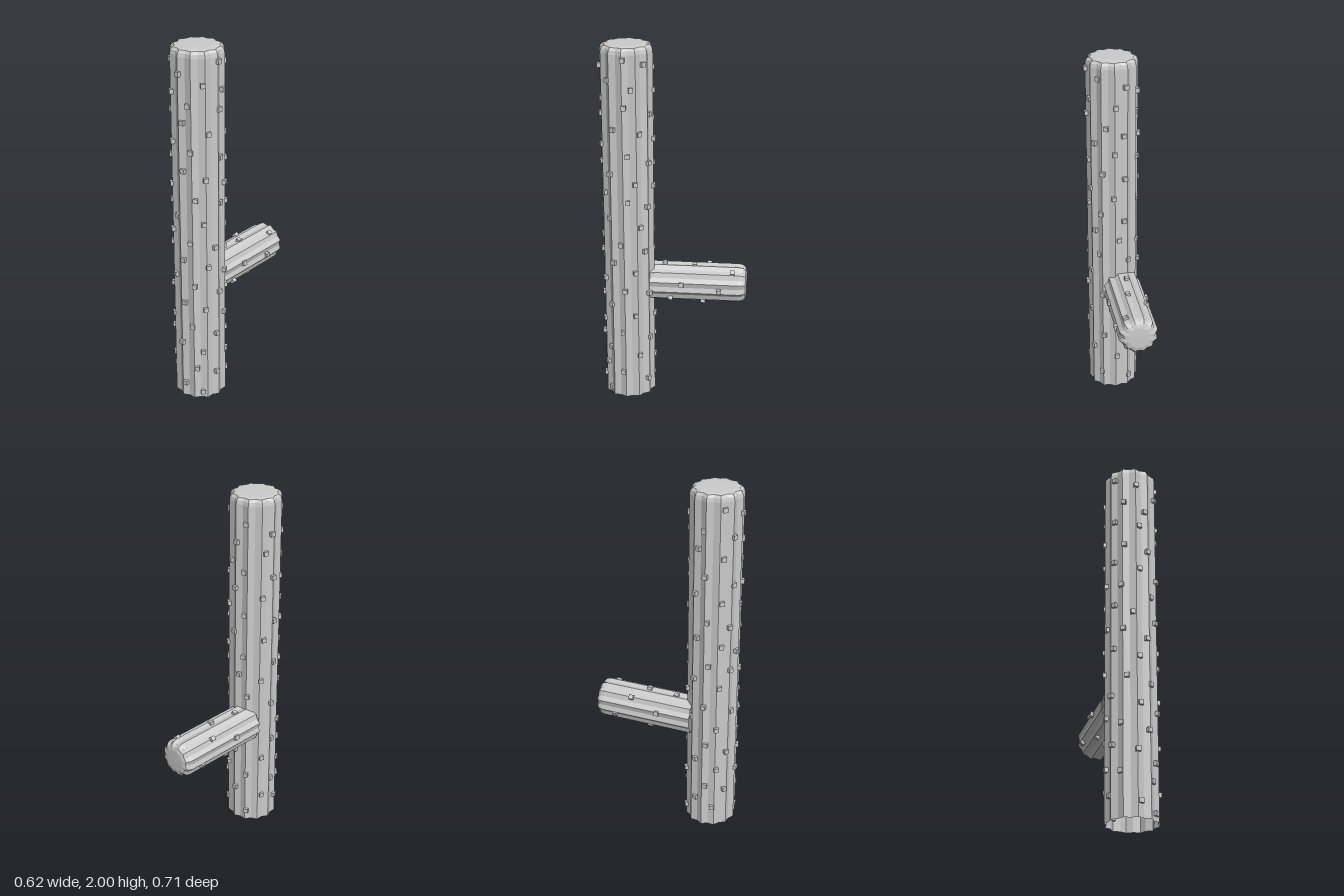
import * as THREE from 'three';

const material = new THREE.MeshStandardMaterial({ color: 0xcccccc, flatShading: true, side: THREE.DoubleSide });
const RIBS = 12;
const VALLEY = 0.9;

// Small seeded generator for scattering the spikes
function seeded(seed) {
  return () => {
    seed = (seed * 16807) % 2147483647;
    return seed / 2147483647;
  };
}

// Lathe whose every second column is the crest of a rib; open at the base
function ribbedStem(name, radius, length, bevel) {
  const profile = [[0, 0], [0, length - bevel]].map(([inset, y]) => new THREE.Vector2(radius - inset, y));
  // Rounded shoulder, then a nearly flat top
  for (const t of [0.35, 0.7, 1]) {
    const a = t * Math.PI / 2;
    profile.push(new THREE.Vector2(radius - bevel * (1 - Math.cos(a)) * 0.75, length - bevel + bevel * 0.92 * Math.sin(a)));
  }
  profile.push(new THREE.Vector2(radius * 0.6, length - bevel * 0.03), new THREE.Vector2(0, length));

  const geometry = new THREE.LatheGeometry(profile, RIBS * 2);
  const pos = geometry.attributes.position;
  for (let i = 0; i < pos.count; i++) {
    const column = Math.floor(i / profile.length);
    if (column % 2 === 0) pos.setXYZ(i, pos.getX(i) * VALLEY, pos.getY(i), pos.getZ(i) * VALLEY);
  }
  geometry.computeVertexNormals();
  const mesh = new THREE.Mesh(geometry, material);
  mesh.name = name;
  return mesh;
}

// Little cubes half sunk into the slopes on both sides of the rib crests
const spikeGeometry = new THREE.BoxGeometry(0.025, 0.025, 0.025);
function scatterSpikes(parent, radius, count, low, high, seed) {
  const random = seeded(seed);
  for (let i = 0; i < count; i++) {
    const rib = (i * 5) % RIBS;
    const offset = (random() - 0.5) * 1.4; // from the crest, in half ribs
    const angle = (rib + 0.5 + offset / 2) * Math.PI * 2 / RIBS;
    const r = radius * (1 - (1 - VALLEY) * Math.abs(offset));
    const y = low + (high - low) * (i + random()) / count;
    const spike = new THREE.Mesh(spikeGeometry, material);
    spike.name = 'spike';
    spike.position.set(r * Math.sin(angle), y, r * Math.cos(angle));
    spike.rotation.y = angle;
    parent.add(spike);
  }
}

export function createModel() {
  const model = new THREE.Group();
  model.name = 'cactus';

  // Tall trunk with a shallow domed top
  const trunk = new THREE.Group();
  trunk.name = 'trunk';
  trunk.position.set(-0.16, 0, 0.205);
  trunk.add(ribbedStem('trunkStem', 0.14, 2, 0.04));
  scatterSpikes(trunk, 0.14, 90, 0.03, 1.95, 71);
  model.add(trunk);

  // Level branch growing out of the trunk towards the back left
  const branch = new THREE.Group();
  branch.name = 'branch';
  branch.position.set(-0.126, 0.655, 0.115);
  branch.rotation.set(Math.PI / 2, Math.atan2(0.67, -0.74), 0, 'YXZ');
  branch.add(ribbedStem('branchStem', 0.107, 0.56, 0.045));
  scatterSpikes(branch, 0.107, 12, 0.06, 0.48, 29);
  model.add(branch);

  return model;
}
